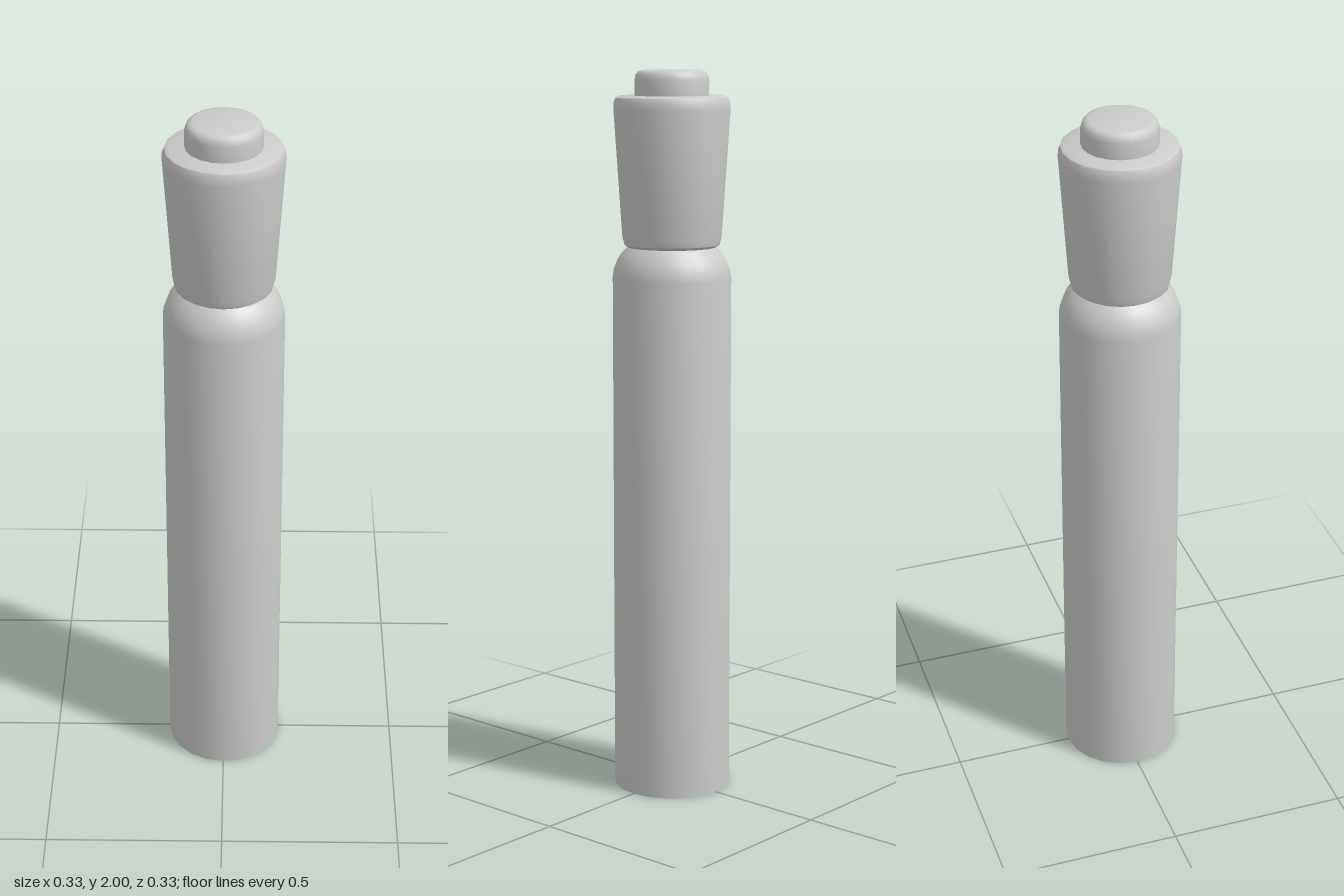
import * as THREE from 'three';
import { toCreasedNormals } from 'three/addons/utils/BufferGeometryUtils.js';

const SIDES = 20;

// Turned part: profile of [radius, height] points, hard edges kept sharp
function turned(name, profile, material) {
  const points = profile.map(([r, y]) => new THREE.Vector2(r, y));
  const lathe = new THREE.LatheGeometry(points, SIDES);
  const mesh = new THREE.Mesh(toCreasedNormals(lathe, THREE.MathUtils.degToRad(40)), material);
  mesh.name = name;
  return mesh;
}

export function createModel() {
  const group = new THREE.Group();
  group.name = 'marker';
  const grey = new THREE.MeshStandardMaterial({ color: 0xcccccc });

  // Barrel with a hollow bore, open at the bottom, and a rounded shoulder
  group.add(turned('barrel', [
    [0, 1.4], [0.108, 1.4], [0.108, 0], [0.163, 0], [0.163, 1.44],
    [0.16, 1.462], [0.151, 1.485], [0.138, 1.507], [0.12, 1.525], [0, 1.525],
  ], grey));

  // Flared cap with softened rims
  group.add(turned('cap', [
    [0, 1.522], [0.118, 1.522], [0.131, 1.531], [0.136, 1.55], [0.159, 1.895],
    [0.158, 1.915], [0.153, 1.927], [0.143, 1.932], [0, 1.932],
  ], grey));

  // Raised button on top of the cap
  group.add(turned('capButton', [
    [0.101, 1.925], [0.101, 1.975], [0.098, 1.988], [0.091, 1.997], [0.08, 2], [0, 2],
  ], grey));

  return group;
}
